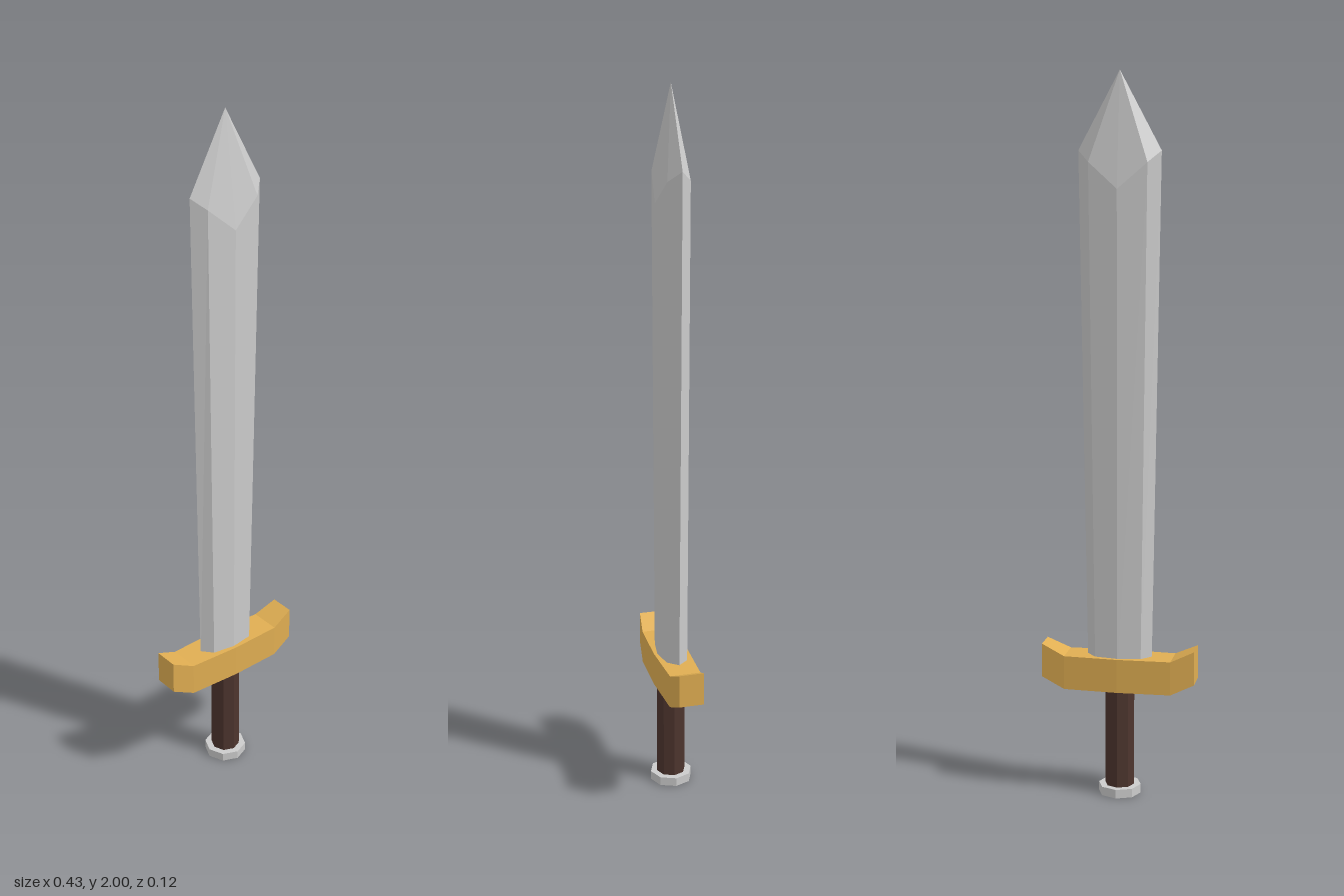
import * as THREE from 'three';

// Flat-shaded solid skinned through matching rings of points, capped at both ends
function loft(rings) {
  const pos = [];
  const tri = (a, b, c) => pos.push(...a, ...b, ...c);
  const n = rings[0].length;
  for (let r = 0; r < rings.length - 1; r++) {
    const a = rings[r], b = rings[r + 1];
    for (let i = 0; i < n; i++) {
      const j = (i + 1) % n;
      tri(a[i], a[j], b[j]);
      tri(a[i], b[j], b[i]);
    }
  }
  const first = rings[0], last = rings[rings.length - 1];
  for (let i = 1; i < n - 1; i++) {
    tri(first[0], first[i + 1], first[i]);
    tri(last[0], last[i], last[i + 1]);
  }
  const g = new THREE.BufferGeometry();
  g.setAttribute('position', new THREE.Float32BufferAttribute(pos, 3));
  g.computeVertexNormals();
  return g;
}

export function createModel() {
  const group = new THREE.Group();
  const steel = new THREE.MeshStandardMaterial({ color: 0xcccccc, flatShading: true });
  const gold = new THREE.MeshStandardMaterial({ color: 0xe0ae52, flatShading: true });
  const leather = new THREE.MeshStandardMaterial({ color: 0x4d352e, flatShading: true });
  const add = (name, geometry, material, y = 0) => {
    const mesh = new THREE.Mesh(geometry, material);
    mesh.name = name;
    mesh.position.y = y;
    group.add(mesh);
  };

  // Blade: eight-sided section, widening upward, then cut to a faceted point
  const section = (edge, bevel, bevelZ, ridge, yEdge, yBevel, yRidge) => [
    [edge, yEdge, 0], [bevel, yBevel, -bevelZ], [0, yRidge, -ridge], [-bevel, yBevel, -bevelZ],
    [-edge, yEdge, 0], [-bevel, yBevel, bevelZ], [0, yRidge, ridge], [bevel, yBevel, bevelZ],
  ];
  add('blade', loft([
    section(0.09, 0.064, 0.03, 0.04, 0.36, 0.36, 0.36),
    section(0.113, 0.08, 0.031, 0.043, 1.79, 1.76, 1.69),
    section(0, 0, 0, 0, 2, 2, 2),
  ]), steel);

  // Guard: bar with upturned, narrowing ends
  const stations = [[-0.215, 0.335, 0.43, 0.035], [-0.15, 0.305, 0.4, 0.044], [0, 0.305, 0.4, 0.05],
    [0.15, 0.305, 0.4, 0.044], [0.215, 0.335, 0.43, 0.035]];
  add('guard', loft(stations.map(([x, low, high, z]) =>
    [[x, low, z], [x, low, -z], [x, high, -z], [x, high, z]])), gold);

  // Grip and pommel: octagonal prisms
  add('grip', new THREE.CylinderGeometry(0.041, 0.041, 0.3, 8), leather, 0.165);
  add('pommel', new THREE.CylinderGeometry(0.06, 0.06, 0.025, 8), steel, 0.0125);
  return group;
}
